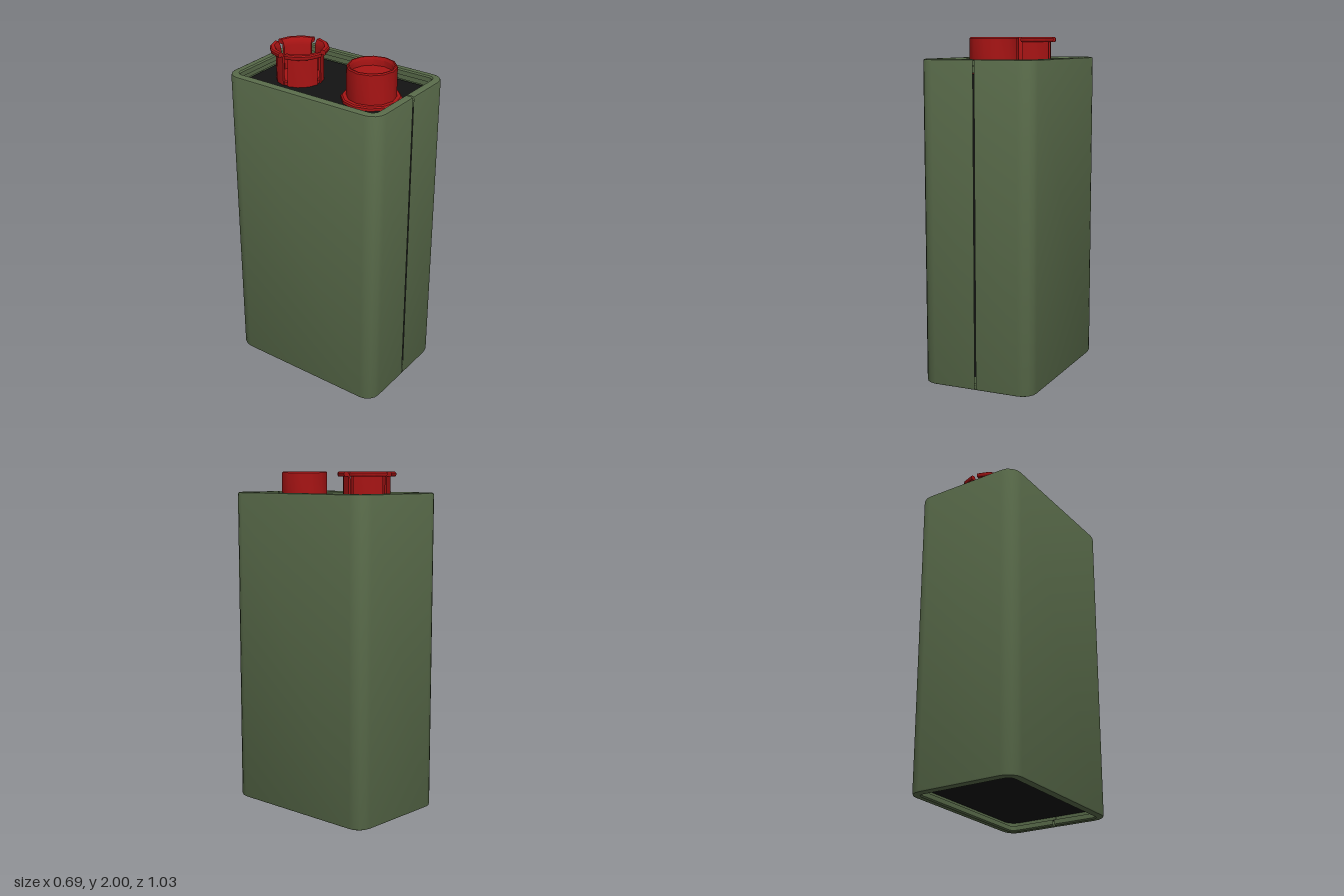
import * as THREE from 'three';
import { toCreasedNormals } from 'three/addons/utils/BufferGeometryUtils.js';

const paint = (color) => new THREE.MeshStandardMaterial({ color, side: THREE.DoubleSide });
const green = paint(0x596b4a), black = paint(0x131313), red = paint(0xa81414);

function add(parent, name, geometry, material) {
  const mesh = new THREE.Mesh(geometry, material);
  mesh.name = name;
  parent.add(mesh);
  return mesh;
}

// Rounded rectangle outline, inset from the outer wall, starting and ending at the front seam
function outline(inset, seam = 0.004) {
  const hx = 0.345 - inset, hz = 0.515 - inset;
  const r = Math.max(0.085 - inset, 0.03), steps = 4;
  const pts = [[seam, hz]];
  [[1, 1], [1, -1], [-1, -1], [-1, 1]].forEach(([sx, sz], k) => {
    for (let i = 0; i <= steps; i++) {
      const a = (k + i / steps) * Math.PI / 2;
      pts.push([sx * (hx - r) + r * Math.sin(a), sz * (hz - r) + r * Math.cos(a)]);
    }
  });
  pts.push([-seam, hz]);
  return pts;
}

// Sweeps an (inset, y) profile round the outline
function sweep(profile) {
  const rings = profile.map(([inset, y]) => outline(inset).map(([x, z]) => [x, y, z]));
  const P = profile.length, N = rings[0].length, pos = [], index = [];
  for (let i = 0; i < N; i++) {
    for (let j = 0; j < P; j++) {
      pos.push(...rings[j][i]);
      if (i === N - 1 || j === P - 1) continue;
      const a = i * P + j, b = a + P;
      index.push(a, b, a + 1, b + 1, a + 1, b);
    }
  }
  const g = new THREE.BufferGeometry();
  g.setAttribute('position', new THREE.Float32BufferAttribute(pos, 3));
  g.setIndex(index);
  return toCreasedNormals(g, 0.6);
}

// Creased lathe of [radius, y] points
function lathe(points, segments, start = 0, length = Math.PI * 2) {
  const v = points.map(([r, y]) => new THREE.Vector2(r, y));
  return toCreasedNormals(new THREE.LatheGeometry(v, segments, start, length), 0.65);
}

export function createModel() {
  const model = new THREE.Group();
  model.name = 'battery';

  // Sheet sleeve with lips curled inward at both ends and a seam down the front
  const H = 1.88;
  const half = [[0.02, 0.075], [0.02, 0.035], [0.05, 0.035], [0.05, 0.008], [0.043, 0], [0.012, 0], [0.003, 0.004], [0, 0.012]];
  const upper = half.map(([inset, y]) => [inset, H - y]).reverse();
  add(model, 'sleeve', sweep([...half, ...upper]), green);

  // Dark core with its end plates sunk below the lips
  const coreShape = new THREE.Shape(outline(0.021, 0.001).map(([x, z]) => new THREE.Vector2(x, -z)));
  const coreGeo = new THREE.ExtrudeGeometry(coreShape, { depth: 1.74, bevelEnabled: false });
  coreGeo.rotateX(-Math.PI / 2).translate(0, 0.06, 0);
  add(model, 'core', toCreasedNormals(coreGeo, 0.6), black);

  // Plug terminal: flanged cup
  const plug = add(model, 'plugTerminal', lathe([
    [0.17, 1.80], [0.17, 1.815], [0.162, 1.822], [0.14, 1.822], [0.14, 1.993],
    [0.134, 2], [0.127, 2], [0.12, 1.985], [0.12, 1.95], [0, 1.95],
  ], 12), red);
  plug.position.z = 0.245;

  // Socket terminal: floor disc with four sprung petals
  const socket = new THREE.Group();
  socket.name = 'socketTerminal';
  socket.position.z = -0.25;
  model.add(socket);
  add(socket, 'socketFloor', lathe([[0.13, 1.80], [0.13, 1.82], [0.122, 1.826], [0, 1.826]], 12), red);

  const petal = [
    [0.137, 1.80], [0.137, 1.972], [0.164, 1.972], [0.17, 1.98], [0.17, 1.993],
    [0.163, 2], [0.143, 2], [0.132, 1.985], [0.124, 1.96], [0.124, 1.80],
  ];
  const gap = 0.115, arc = Math.PI / 2 - 2 * gap;
  const capShape = new THREE.Shape(petal.map(([r, y]) => new THREE.Vector2(r, y)));
  for (let k = 0; k < 4; k++) {
    const start = k * Math.PI / 2 + gap;
    add(socket, 'socketPetal', lathe([...petal, petal[0]], 3, start, arc), red);
    for (const phi of [start, start + arc]) {
      const cap = add(socket, 'petalEnd', new THREE.ShapeGeometry(capShape), red);
      cap.rotation.y = phi - Math.PI / 2;
    }
  }
  return model;
}
